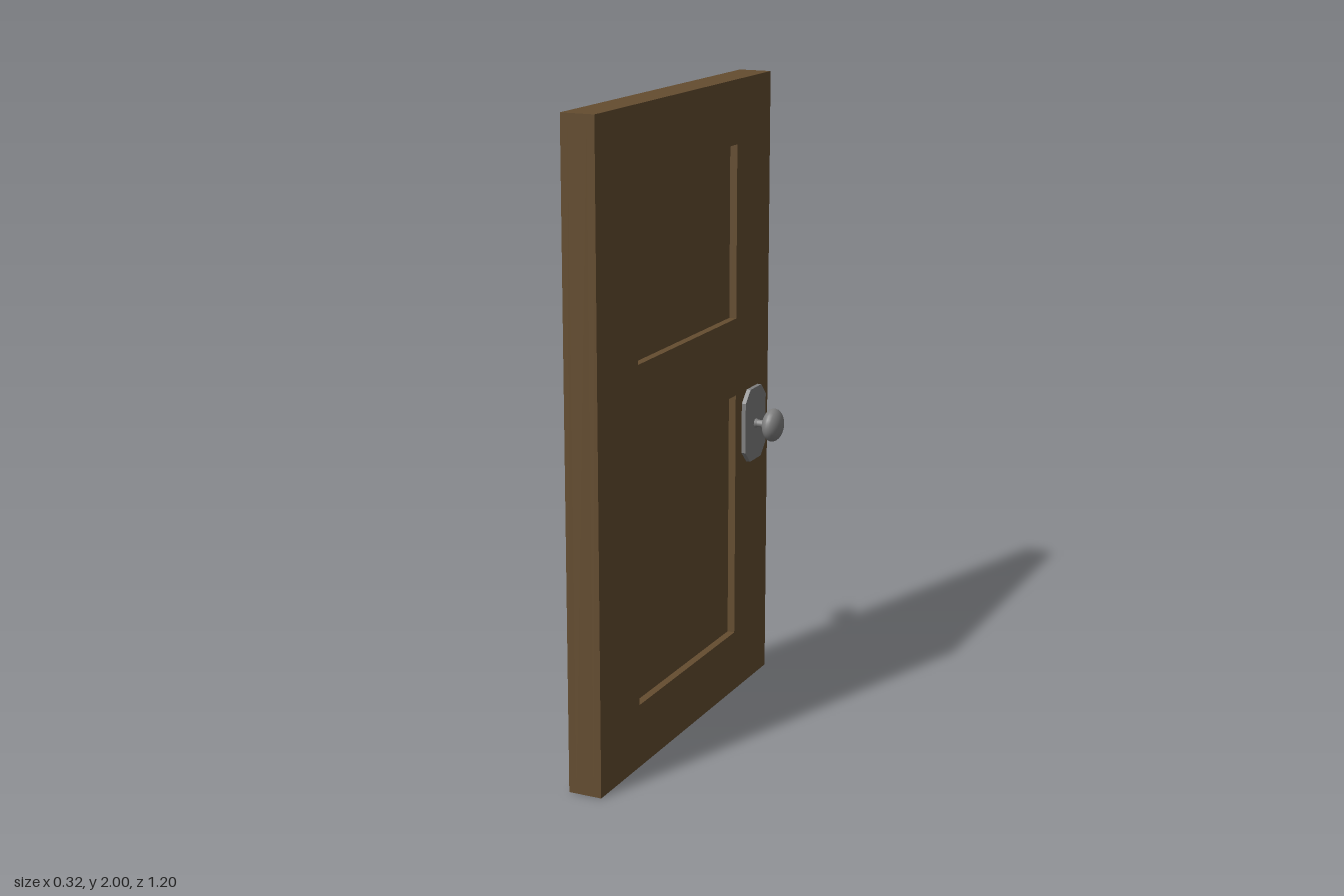
import * as THREE from 'three';

const WIDTH = 1.195, HEIGHT = 2, THICK = 0.106, DEPTH = 0.024;
const KNOB_Y = 0.88, KNOB_OFFSET = 0.4725;

const wood = new THREE.MeshStandardMaterial({ color: 0x644d30 });
wood.name = 'dark wood';
const metal = new THREE.MeshStandardMaterial({ color: 0x808080 });
metal.name = 'grey metal';

function part(name, geometry, material) {
  const mesh = new THREE.Mesh(geometry, material);
  mesh.name = name;
  return mesh;
}

function rectangle(PathType, x0, y0, x1, y1) {
  return new PathType([[x0, y0], [x1, y0], [x1, y1], [x0, y1]].map(([x, y]) => new THREE.Vector2(x, y)));
}

// Face frame with recessed panel openings, outward along +z
function faceFrame(panels) {
  const shape = rectangle(THREE.Shape, -WIDTH / 2, 0, WIDTH / 2, HEIGHT);
  for (const [low, high] of panels) shape.holes.push(rectangle(THREE.Path, -0.345, low, 0.345, high));
  const frame = part('panelFrame', new THREE.ExtrudeGeometry(shape, { depth: DEPTH, bevelEnabled: false }), wood);
  frame.position.z = THICK / 2 - DEPTH;
  return frame;
}

// Backplate with clipped corners, stem and flattened knob
function handle() {
  const group = new THREE.Group();
  group.name = 'handle';
  const w = 0.08, h = 0.12, c = 0.038;
  const outline = new THREE.Shape([
    [-w + c, -h], [w - c, -h], [w, -h + c], [w, h - c],
    [w - c, h], [-w + c, h], [-w, h - c], [-w, -h + c],
  ].map(([x, y]) => new THREE.Vector2(x, y)));
  const plate = part('backplate', new THREE.ExtrudeGeometry(outline, { depth: 0.014, bevelEnabled: false }), metal);
  plate.position.z = THICK / 2;

  const stem = part('stem', new THREE.CylinderGeometry(0.012, 0.012, 0.045, 16), metal);
  stem.rotation.x = Math.PI / 2;
  stem.position.z = 0.085;
  const collar = part('collar', new THREE.CylinderGeometry(0.012, 0.016, 0.01, 16), metal);
  collar.rotation.x = Math.PI / 2;
  collar.position.z = 0.071;

  const knobGeometry = new THREE.SphereGeometry(0.054, 24, 16);
  knobGeometry.rotateX(Math.PI / 2);
  knobGeometry.scale(1, 1, 0.032 / 0.054);
  const knob = part('knob', knobGeometry, metal);
  knob.position.z = 0.128;
  group.add(plate, stem, collar, knob);
  return group;
}

export function createModel() {
  const model = new THREE.Group();
  model.name = 'door';

  const core = part('doorCore', new THREE.BoxGeometry(THICK - 2 * DEPTH, HEIGHT, WIDTH), wood);
  core.position.y = HEIGHT / 2;
  const leaf = new THREE.Group();
  leaf.name = 'doorLeaf';
  leaf.add(core);

  // The panel layout is upside down on the opposite face
  const sides = [
    { name: 'leftFace', sign: 1, panels: [[0.2, 1.0], [1.25, 1.8]] },
    { name: 'rightFace', sign: -1, panels: [[0.2, 0.75], [1.0, 1.8]] },
  ];
  for (const { name, sign, panels } of sides) {
    const side = new THREE.Group();
    side.name = name;
    const hardware = handle();
    hardware.position.set(sign * KNOB_OFFSET, KNOB_Y, 0);
    side.add(faceFrame(panels), hardware);
    side.rotation.y = sign * Math.PI / 2;
    leaf.add(side);
  }

  // The leaf stands slightly ajar
  leaf.rotation.y = -0.0557;
  leaf.position.x = -0.029;
  model.add(leaf);
  return model;
}
